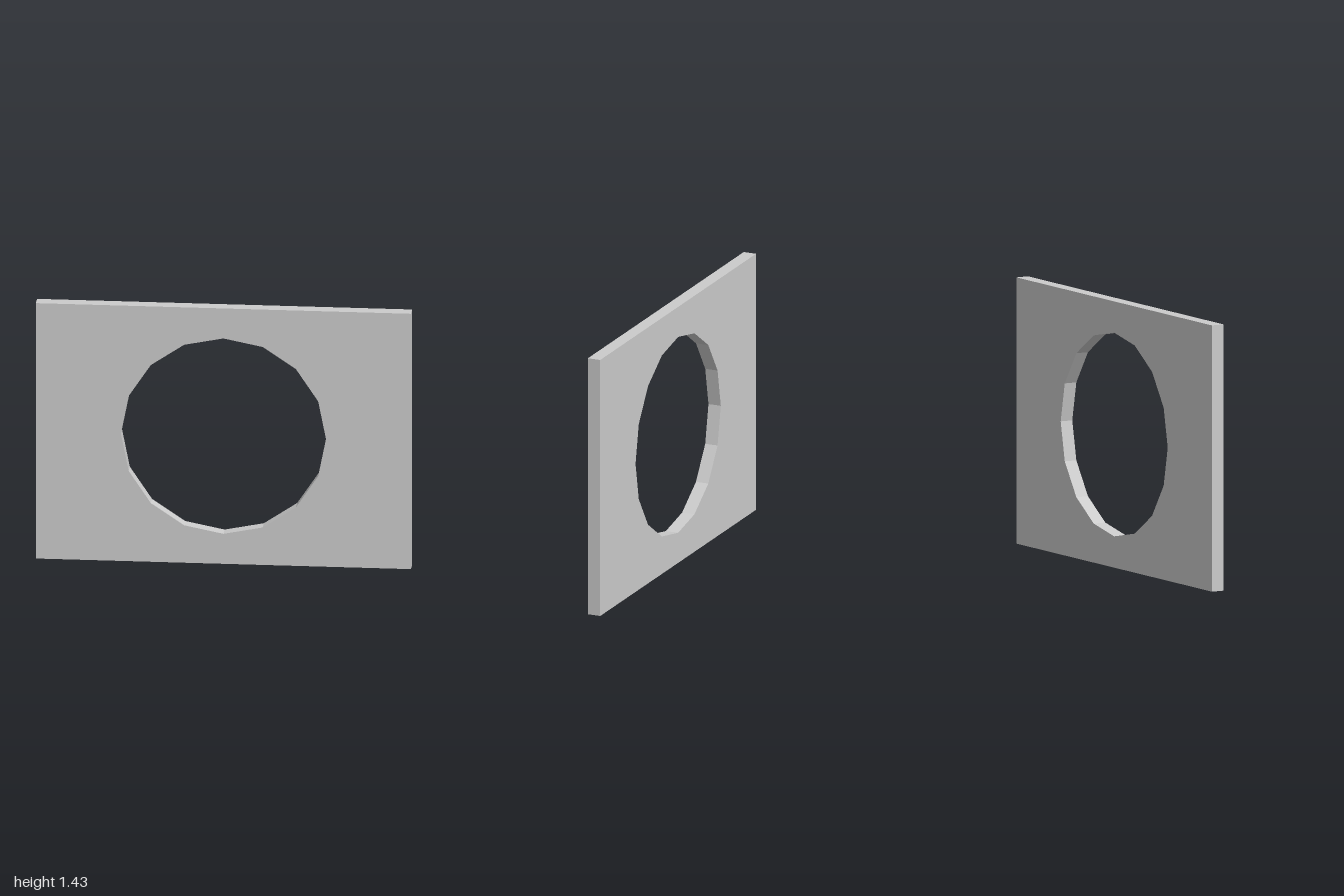
import * as THREE from 'three';

const WIDTH = 2, HEIGHT = 1.43, DEPTH = 0.072;
const HOLE_RADIUS = 0.547, HOLE_SIDES = 16;

export function createModel() {
  const group = new THREE.Group();
  group.name = 'panelWithRoundOpening';

  // Rectangular outline standing on the ground
  const outline = new THREE.Shape([
    new THREE.Vector2(-WIDTH / 2, 0),
    new THREE.Vector2(WIDTH / 2, 0),
    new THREE.Vector2(WIDTH / 2, HEIGHT),
    new THREE.Vector2(-WIDTH / 2, HEIGHT),
  ]);

  // Sixteen-sided opening in the middle, with a corner at the top
  const corners = [];
  for (let i = 0; i < HOLE_SIDES; i++) {
    const a = (-i / HOLE_SIDES) * Math.PI * 2;
    corners.push(new THREE.Vector2(
      HOLE_RADIUS * Math.cos(a),
      HEIGHT / 2 + HOLE_RADIUS * Math.sin(a),
    ));
  }
  outline.holes.push(new THREE.Path(corners));

  // Flat panel, centred in depth
  const geometry = new THREE.ExtrudeGeometry(outline, { depth: DEPTH, bevelEnabled: false });
  geometry.translate(0, 0, -DEPTH / 2);
  const panel = new THREE.Mesh(
    geometry,
    new THREE.MeshStandardMaterial({ color: 0xcccccc, flatShading: true }),
  );
  panel.name = 'panel';
  group.add(panel);

  return group;
}
